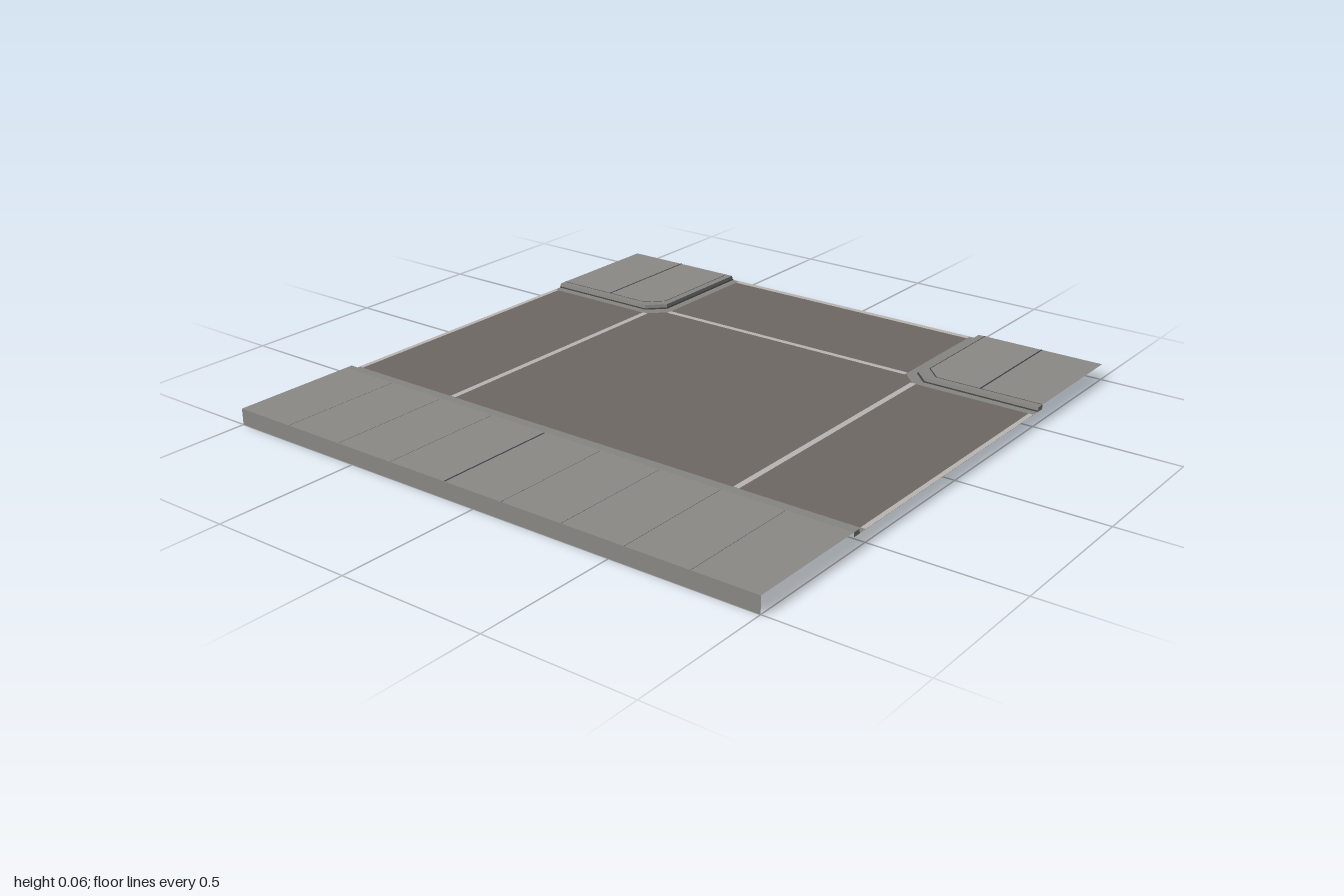
import * as THREE from 'three';

const ROAD_Y = 0.04, WALK_Y = 0.055, LIFT = 0.0008;

function material(name, color) {
  const m = new THREE.MeshStandardMaterial({ color, side: THREE.DoubleSide });
  m.name = name;
  return m;
}

export function createModel() {
  const group = new THREE.Group();
  const asphalt = material('asphalt', 0x6e6864);
  const paint = material('road paint', 0xbab5b2);
  const paving = material('paving', 0x8b8a87);
  const curbStone = material('curb stone', 0x868581);
  const joint = material('dark joint', 0x3e3d3b);

  const add = (name, geo, mat, parent = group) => {
    const mesh = new THREE.Mesh(geo, mat);
    mesh.name = name;
    parent.add(mesh);
    return mesh;
  };

  // Horizontal sheet from [x, z] corners
  const sheet = (name, pts, y, mat, parent) => {
    const shape = new THREE.Shape(pts.map(([x, z]) => new THREE.Vector2(x, -z)));
    const geo = new THREE.ShapeGeometry(shape).rotateX(-Math.PI / 2).translate(0, y, 0);
    return add(name, geo, mat, parent);
  };
  const rect = (name, x0, x1, z0, z1, y, mat, parent) =>
    sheet(name, [[x0, z0], [x1, z0], [x1, z1], [x0, z1]], y, mat, parent);

  // Band between two [x, z] paths at two heights
  const band = (name, a, ya, b, yb, mat, parent) => {
    const pos = [];
    for (let i = 0; i < a.length - 1; i++) {
      const p = [a[i][0], ya, a[i][1]], q = [a[i + 1][0], ya, a[i + 1][1]];
      const r = [b[i + 1][0], yb, b[i + 1][1]], t = [b[i][0], yb, b[i][1]];
      pos.push(...p, ...q, ...r, ...p, ...r, ...t);
    }
    const geo = new THREE.BufferGeometry();
    geo.setAttribute('position', new THREE.Float32BufferAttribute(pos, 3));
    geo.computeVertexNormals();
    return add(name, geo, mat, parent);
  };

  // Road surface, cut away at the two kerbed corners
  sheet('road', [
    [-0.5, -1], [0.5, -1], [0.5, -0.56], [0.56, -0.5], [1, -0.5],
    [1, 0.5], [0.56, 0.5], [0.5, 0.56], [0.5, 1], [-0.5, 1],
  ], ROAD_Y, asphalt);

  // Painted lines
  const py = ROAD_Y + LIFT;
  for (const s of [-1, 1]) {
    rect('crossLine', -0.5, 0.5, s * 0.553, s * 0.574, py, paint);
    rect('endLine', -0.5, 0.5, s * 0.983, s, py, paint);
  }
  rect('sideRoadLine', 0.55, 0.571, -0.5, 0.5, py, paint);
  rect('sideRoadEndLine', 0.978, 1, -0.5, 0.5, py, paint);

  // Gutter, curb face, curb top and seams following parallel paths
  const curbRun = (path, parent) => {
    const base = path(0.03), lip = path(0.034), inner = path(0.06);
    band('gutter', path(0), ROAD_Y, base, ROAD_Y, curbStone, parent);
    band('gutterSeam', path(0.027), ROAD_Y + LIFT, path(0.031), ROAD_Y + 0.004, joint, parent);
    band('curbFace', base, ROAD_Y, lip, WALK_Y, curbStone, parent);
    band('curbTop', lip, WALK_Y, inner, WALK_Y, curbStone, parent);
    // Closed ends where the curb meets the tile edge
    for (const i of [0, base.length - 1]) {
      band('curbEnd', [base[i], inner[i]], ROAD_Y, [lip[i], inner[i]], WALK_Y, curbStone, parent);
    }
  };

  // Long sidewalk along the right side
  const sidewalk = new THREE.Group();
  sidewalk.name = 'longSidewalk';
  group.add(sidewalk);
  curbRun((d) => [[-0.5 - d, -1], [-0.5 - d, 1]], sidewalk);
  rect('pavingSlab', -1, -0.56, -1, 1, WALK_Y, paving, sidewalk);
  for (let i = 0; i < 8; i++) {
    const z = -0.778 + i * 0.2222;
    const w = i === 3 ? 0.003 : 0.0006;
    rect('pavingJoint', -1, -0.565, z - w, z + w, WALK_Y + LIFT, joint, sidewalk);
  }

  // Outer skirt below the long sidewalk
  band('outerSkirt', [[-1, -1], [-1, 1]], 0, [[-1, -1], [-1, 1]], WALK_Y, paving, sidewalk);
  const seam = [[-0.9992, -0.333], [-0.9992, -0.327]];
  band('skirtSeam', seam, 0, seam, ROAD_Y, joint, sidewalk);

  // Two corner sidewalks with chamfered curbs
  for (const s of [-1, 1]) {
    const corner = new THREE.Group();
    corner.name = s < 0 ? 'backCorner' : 'frontCorner';
    group.add(corner);
    const path = (d) => {
      const e = 0.5 + d, c = 0.56 + d * 0.5858 + d * 0.4142 * 2 * 0.41;
      return [[e, s], [e, s * c], [c, s * e], [1, s * e]];
    };
    curbRun(path, corner);
    sheet('pavingSlab', [...path(0.06), [1, s]], WALK_Y, paving, corner);
    band('pavingSeam', path(0.058), WALK_Y + LIFT, path(0.061), WALK_Y + LIFT, joint, corner);
    rect('pavingJoint', 0.56, 1, s * 0.775, s * 0.781, WALK_Y + LIFT, joint, corner);
  }

  return group;
}
